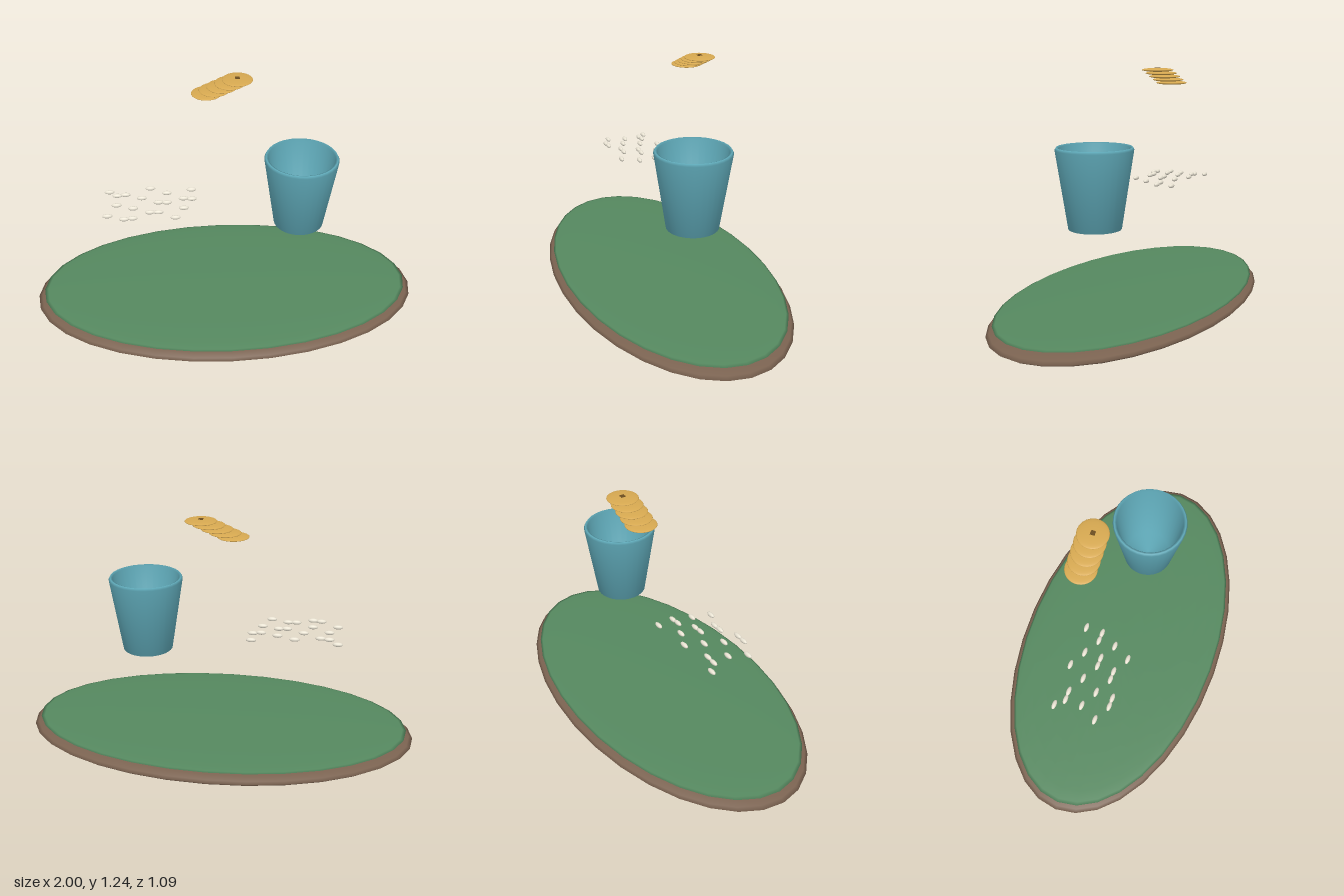
import * as THREE from 'three';

const material = (color, side = THREE.FrontSide) => new THREE.MeshStandardMaterial({ color, side });

const wood = material(0x7a6250);
const felt = material(0x55885f);
const glaze = material(0x5fa9b8, THREE.DoubleSide);
const gold = material(0xd6a850);
const darkGold = material(0x6b4c1e);
const ivory = material(0xe8e2d2);

// Smooth ellipsoid with the given half-axes
function ellipsoid(name, mat, radii, position, segments = 32, rings = 16) {
  const geometry = new THREE.SphereGeometry(1, segments, rings);
  geometry.scale(...radii);
  const mesh = new THREE.Mesh(geometry, mat);
  mesh.name = name;
  mesh.position.set(...position);
  return mesh;
}

// Oval table: a flattened wooden body with a thin felt cover
function createTable() {
  const table = new THREE.Group();
  table.name = 'table';
  table.add(
    ellipsoid('tableBody', wood, [1, 0.545, 0.06], [0, 0.06, 0]),
    ellipsoid('tableFelt', felt, [0.965, 0.52, 0.02], [0, 0.103, 0])
  );
  // Half-axes above are given as x, z, height
  table.children.forEach((part) => {
    part.geometry.dispose();
    part.geometry = new THREE.SphereGeometry(1, 32, 16);
  });
  table.children[0].geometry.scale(1, 0.06, 0.545);
  table.children[1].geometry.scale(0.965, 0.02, 0.52);
  return table;
}

// Tapered hollow cup with a softened rim
function createCup() {
  const profile = [
    [0, 0], [0.126, 0], [0.184, 0.373], [0.177, 0.385],
    [0.165, 0.38], [0.112, 0.025], [0, 0.025],
  ].map(([r, y]) => new THREE.Vector2(r, y));
  const cup = new THREE.Mesh(new THREE.LatheGeometry(profile, 32), glaze);
  cup.name = 'cup';
  cup.position.set(0.375, 0.5, 0);
  return cup;
}

// Slanted stack of five coins, each with a small square mark
function createCoins() {
  const coins = new THREE.Group();
  coins.name = 'coins';
  for (let i = 0; i < 5; i++) {
    const x = -0.082 + i * 0.0375;
    const y = 1.16 + i * 0.017;
    coins.add(ellipsoid('coin', gold, [0.075, 0.009, 0.075], [x, y, -0.167]));
    const mark = new THREE.Mesh(new THREE.BoxGeometry(0.022, 0.008, 0.022), darkGold);
    mark.name = 'coinMark';
    mark.position.set(x, y + 0.007, -0.167);
    coins.add(mark);
  }
  return coins;
}

// Twenty small counters scattered over a gently arched grid
function createCounters() {
  const counters = new THREE.Group();
  counters.name = 'counters';
  for (let i = 0; i < 20; i++) {
    const column = (i * 7) % 11;
    const row = (i * 3) % 7;
    const position = [
      -0.588 + column * 0.042,
      0.627 + 0.015 * Math.sin((Math.PI * column) / 10),
      -0.13 + row * 0.042,
    ];
    counters.add(ellipsoid('counter', ivory, [0.025, 0.011, 0.011], position, 16, 10));
  }
  return counters;
}

export function createModel() {
  const model = new THREE.Group();
  model.name = 'tableWithCup';
  model.add(createTable(), createCup(), createCoins(), createCounters());
  return model;
}
